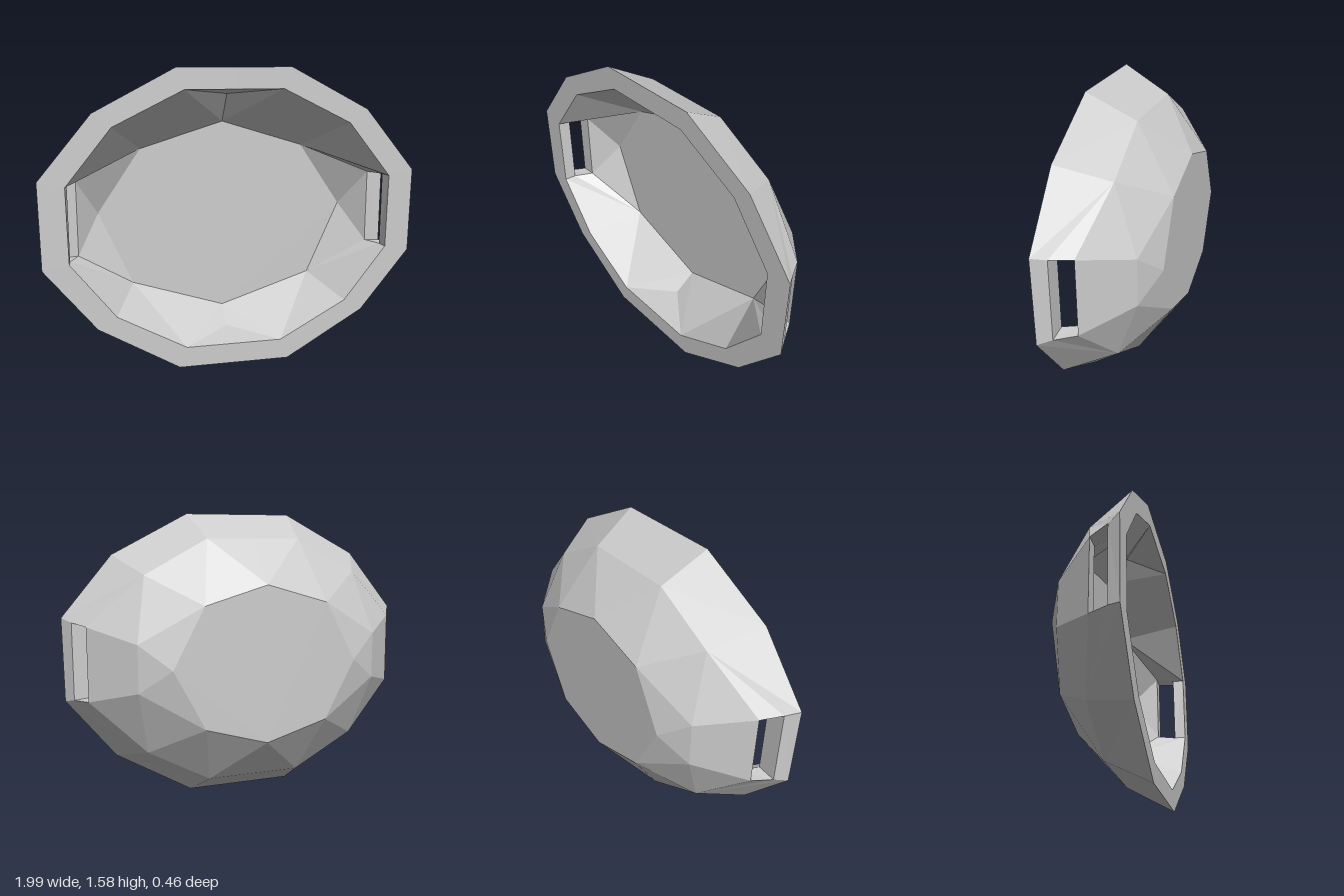
import * as THREE from 'three';

// Each part is described for the +x half, then mirrored.
const at = (z, list) => list.map(([x, y]) => [x, y, z]);

// Zip two chains with triangles: 'A' steps along chain a, 'B' along chain b.
function zip(a, b, steps) {
  const tris = [];
  let i = 0, j = 0;
  for (const s of steps) {
    if (s === 'A') tris.push([a[i], a[++i], b[j]]);
    else tris.push([a[i], b[j + 1], b[j++]]);
  }
  return tris;
}
const fan = (p) => p.slice(2).map((q, k) => [p[0], p[k + 1], q]);
const flip = (tris) => tris.map(([a, b, c]) => [a, c, b]);

function halfToMesh(name, tris, material) {
  const mirrored = flip(tris).map((t) => t.map(([x, y, z]) => [-x, y, z]));
  const geo = new THREE.BufferGeometry();
  geo.setAttribute('position', new THREE.Float32BufferAttribute([...tris, ...mirrored].flat(2), 3));
  geo.computeVertexNormals();
  const mesh = new THREE.Mesh(geo, material);
  mesh.name = name;
  return mesh;
}

export function createModel() {
  const grey = new THREE.MeshStandardMaterial({ color: 0xcccccc, flatShading: true });
  grey.name = 'light grey';

  // Outer shell rings: front rim, middle, flat back
  const rim = at(0.23, [[0, 0], [0.3, 0], [0.725, 0.25], [0.99, 0.58], [0.995, 1.03], [0.72, 1.36], [0.3, 1.58], [0, 1.58]]);
  const mid = at(-0.02, [[0, 0.135], [0.26, 0.135], [0.6, 0.32], [0.67, 0.67], [0.67, 0.92], [0.6, 1.26], [0.26, 1.445], [0, 1.445]]);
  mid[3][2] = mid[4][2] = -0.15;
  const back = at(-0.23, [[0, 0.37], [0.34, 0.47], [0.51, 0.79], [0.34, 1.11], [0, 1.21]]);

  // Inner cavity rings: front lip and floor, with a fold point at top and bottom
  const lip = at(0.23, [[0, 0.11], [0.26, 0.11], [0.625, 0.31], [0.855, 0.605], [0.86, 1], [0.625, 1.29], [0.26, 1.47], [0, 1.47]]);
  const floor = at(-0.08, [[0, 0.23], [0.51, 0.395], [0.69, 0.8], [0.455, 1.145], [0, 1.285]]);
  const foldLow = [0, 0.145, 0.04], foldHigh = [0, 1.44, 0.04];

  // Side slot corners on the outer and inner surfaces
  const slotOut = [[0.95, 0.595, 0.165], [0.89, 0.6, 0.065], [0.89, 0.995, 0.065], [0.95, 1.01, 0.165]];
  const slotIn = [[0.85, 0.605, 0.165], [0.805, 0.605, 0.065], [0.805, 1, 0.065], [0.85, 1, 0.165]];

  const outer = [
    ...flip(zip([...rim.slice(0, 4), ...slotOut, ...rim.slice(4)], mid, 'ABABAAABABBAAABABA')),
    ...fan([rim[3], slotOut[0], slotOut[3], rim[4]]),
    ...flip(zip(mid, back, 'ABAABABAABA')),
    ...flip(fan(back)),
  ];
  const inner = [
    ...zip([foldLow, ...lip.slice(1, 4), ...slotIn, ...lip.slice(4, 7), foldHigh], floor, 'ABAAAABABAAAABA'),
    [lip[0], lip[1], foldLow],
    [lip[6], lip[7], foldHigh],
    ...fan([lip[4], slotIn[3], slotIn[0], lip[3]]),
    ...fan(floor),
  ];
  const slots = slotOut.flatMap((p, k) => {
    const n = (k + 1) % 4;
    return fan([p, slotOut[n], slotIn[n], slotIn[k]]);
  });

  const group = new THREE.Group();
  group.name = 'facetedShell';
  group.add(
    halfToMesh('outerShell', outer, grey),
    halfToMesh('innerCavity', inner, grey),
    halfToMesh('frontRim', zip(rim, lip, 'AB'.repeat(7)), grey),
    halfToMesh('sideSlots', slots, grey),
  );
  return group;
}
